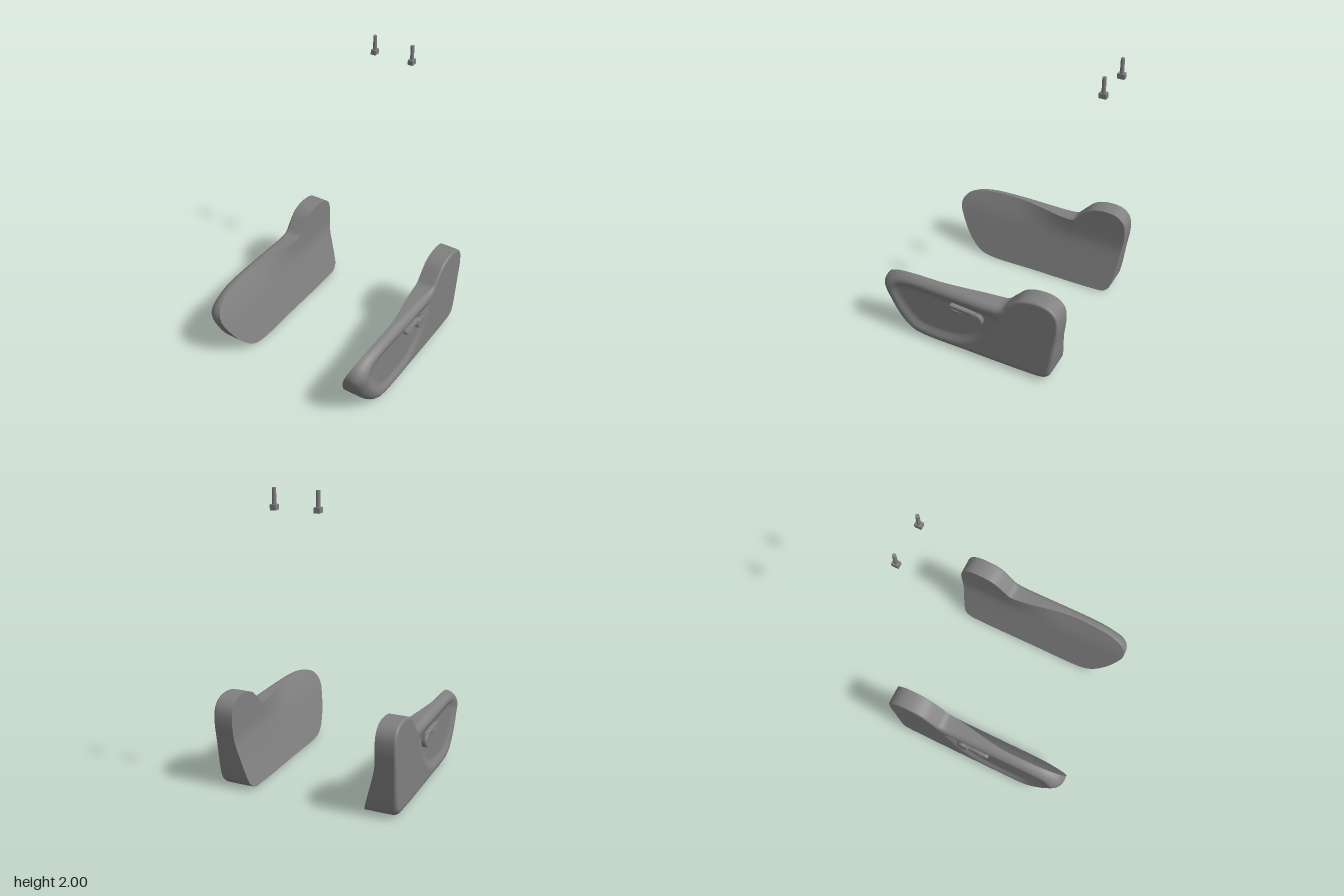
import * as THREE from 'three';
import { mergeVertices } from 'three/addons/utils/BufferGeometryUtils.js';

const darkGrey = new THREE.MeshStandardMaterial({ color: 0x808080 });
const { smoothstep, lerp } = THREE.MathUtils;
const OUT = 0.624;                // x of the outer wall
const CENTRE = [-0.2, 0.25];      // z, y the faces converge on

const closedCurve = (pts) =>
  new THREE.CatmullRomCurve3(pts.map(([z, y, r = 0]) => new THREE.Vector3(z, y, r)), true);

// Side outline: z, y, radius of the outer rounded edge
const outline = closedCurve([
  [0.685, 0.34, 0.09], [0.66, 0.405, 0.09], [0.58, 0.453, 0.08], [0.45, 0.478, 0.06],
  [0.2, 0.486, 0.055], [0, 0.481, 0.05], [-0.18, 0.476, 0.04], [-0.24, 0.482, 0.03],
  [-0.29, 0.53, 0.02], [-0.37, 0.602, 0.015], [-0.47, 0.628, 0.015], [-0.57, 0.615, 0.015],
  [-0.625, 0.565, 0.015], [-0.64, 0.48, 0.015], [-0.62, 0.3, 0.02], [-0.595, 0.1, 0.03],
  [-0.58, 0.045, 0.04], [-0.54, 0.012, 0.05], [-0.45, 0.004, 0.05], [0, 0.002, 0.05],
  [0.4, 0.005, 0.06], [0.48, 0.03, 0.07], [0.56, 0.1, 0.08], [0.64, 0.22, 0.09],
]).getSpacedPoints(160).slice(0, -1);

// Shallow recess in the outer wall: z, y
const recess = closedCurve([
  [0.62, 0.33], [0.58, 0.41], [0.48, 0.445], [0.1, 0.438], [-0.14, 0.432], [-0.22, 0.41],
  [-0.16, 0.28], [-0.07, 0.15], [0.06, 0.07], [0.3, 0.05], [0.42, 0.07], [0.52, 0.16],
]).getSpacedPoints(48).slice(0, -1);

function recessDepth(z, y) {
  let inside = false, d = Infinity;
  recess.forEach((a, i) => {
    const b = recess[(i + 1) % recess.length];
    if ((a.y > y) !== (b.y > y) && z < a.x + (b.x - a.x) * (y - a.y) / (b.y - a.y)) inside = !inside;
    const dx = b.x - a.x, dy = b.y - a.y;
    const t = THREE.MathUtils.clamp(((z - a.x) * dx + (y - a.y) * dy) / (dx * dx + dy * dy), 0, 1);
    d = Math.min(d, Math.hypot(a.x + dx * t - z, a.y + dy * t - y));
  });
  return inside ? 0.022 * smoothstep(d, 0, 0.07) : 0;
}

// Slanted inner face, bending softly at mid height and leaning out at the front
function innerX(z, y) {
  const d = y - 0.345, above = (d + Math.hypot(d, 0.05)) / 2;
  return 0.39 + 0.29 * (y - above) + 0.47 * smoothstep(z, -0.28, 0.28) * above;
}

// Skin a list of closed rings of [x, y, z]
function skin(rings) {
  const n = rings[0].length, index = [];
  for (let r = 0; r < rings.length - 1; r++) {
    for (let i = 0; i < n; i++) {
      const j = (i + 1) % n, a = r * n, b = a + n;
      index.push(a + i, b + i, a + j, a + j, b + i, b + j);
    }
  }
  const geo = new THREE.BufferGeometry();
  geo.setAttribute('position', new THREE.Float32BufferAttribute(rings.flat(2), 3));
  geo.setIndex(index);
  geo.computeVertexNormals();
  return geo;
}

// Ring of the outline moved inwards by inset * radius
function insetRing(inset) {
  const n = outline.length;
  return outline.map((p, i) => {
    const a = outline[(i + n - 1) % n], b = outline[(i + 1) % n];
    const tz = b.x - a.x, ty = b.y - a.y, k = inset * p.z / Math.hypot(tz, ty);
    return [p.x - ty * k, p.y + tz * k, p.z];
  });
}

const towardCentre = (ring, s) =>
  ring.map(([z, y]) => [lerp(CENTRE[0], z, s), lerp(CENTRE[1], y, s)]);

function innerFace() {
  const rings = [];
  for (let k = 0; k <= 18; k++) {
    rings.push(towardCentre(insetRing(0), k / 18).map(([z, y]) => [innerX(z, y), y, z]));
  }
  return skin(rings);
}

function outerShell() {
  const rings = [insetRing(0).map(([z, y]) => [innerX(z, y), y, z])];
  for (let k = 0; k <= 7; k++) {                       // rounded edge
    const a = (k / 7) * Math.PI / 2;
    rings.push(insetRing(1 - Math.cos(a)).map(([z, y, r]) =>
      [OUT - r * (1 - Math.sin(a)) - recessDepth(z, y), y, z]));
  }
  const edge = insetRing(1);
  for (let k = 29; k >= 0; k--) {                      // wall with recess
    rings.push(towardCentre(edge, k / 30).map(([z, y]) => [OUT - recessDepth(z, y), y, z]));
  }
  return skin(rings);
}

// Lever arm drawn with -z to the right, bowing outwards to its tip
function leverArm() {
  const s = new THREE.Shape();
  s.moveTo(0.09, 0.362);
  s.quadraticCurveTo(0.02, 0.376, -0.12, 0.388);
  s.quadraticCurveTo(-0.138, 0.384, -0.133, 0.366);
  s.quadraticCurveTo(-0.12, 0.356, -0.02, 0.35);
  s.quadraticCurveTo(0.012, 0.345, 0.028, 0.315);
  s.lineTo(0.09, 0.31);
  const geo = new THREE.ExtrudeGeometry(s, {
    depth: 0.026, bevelSize: 0.004, bevelThickness: 0.004, bevelSegments: 2, curveSegments: 8,
  });
  geo.rotateY(Math.PI / 2).translate(0.594, 0, 0);
  const p = geo.attributes.position;
  for (let i = 0; i < p.count; i++) p.setX(i, p.getX(i) + 0.014 * smoothstep(p.getZ(i), 0, 0.1));
  geo.computeVertexNormals();
  return mergeVertices(geo);
}

// Round lever pivot with a small chamfer
function leverPivot() {
  const profile = [[0, 0], [0.045, 0], [0.045, 0.036], [0.045, 0.036], [0.039, 0.042], [0.039, 0.042], [0, 0.042]]
    .map(([r, h]) => new THREE.Vector2(r, h));
  return new THREE.LatheGeometry(profile, 28).rotateZ(-Math.PI / 2).translate(0.592, 0.33, -0.065);
}

// Mirror in x, reversing the index so faces still point outwards
function mirrored(geo) {
  const g = geo.clone().scale(-1, 1, 1);
  g.index.array.reverse();
  return g;
}

export function createModel() {
  const model = new THREE.Group();
  const add = (parent, name, geo) => {
    const mesh = new THREE.Mesh(geo, darkGrey);
    mesh.name = name;
    parent.add(mesh);
    return mesh;
  };

  const parts = {
    InnerFace: innerFace(), OuterShell: outerShell(),
    LeverPivot: leverPivot(), LeverArm: leverArm(),
  };
  for (const side of ['left', 'right']) {
    const s = side === 'left' ? 1 : -1;

    // Seat side cover with its recline lever
    const cover = new THREE.Group();
    cover.name = side + 'SideCover';
    for (const [name, geo] of Object.entries(parts)) {
      add(cover, side + name, s > 0 ? geo : mirrored(geo));
    }
    model.add(cover);

    // Headrest guide: square head below a thin sleeve
    const guide = new THREE.Group();
    guide.name = side + 'HeadrestGuide';
    add(guide, side + 'GuideHead', new THREE.BoxGeometry(0.036, 0.033, 0.046)).position.y = 1.8865;
    add(guide, side + 'GuideSleeve', new THREE.CylinderGeometry(0.0125, 0.0125, 0.1, 16)).position.y = 1.95;
    guide.position.set(s * 0.14, 0, -0.662);
    model.add(guide);
  }
  return model;
}
